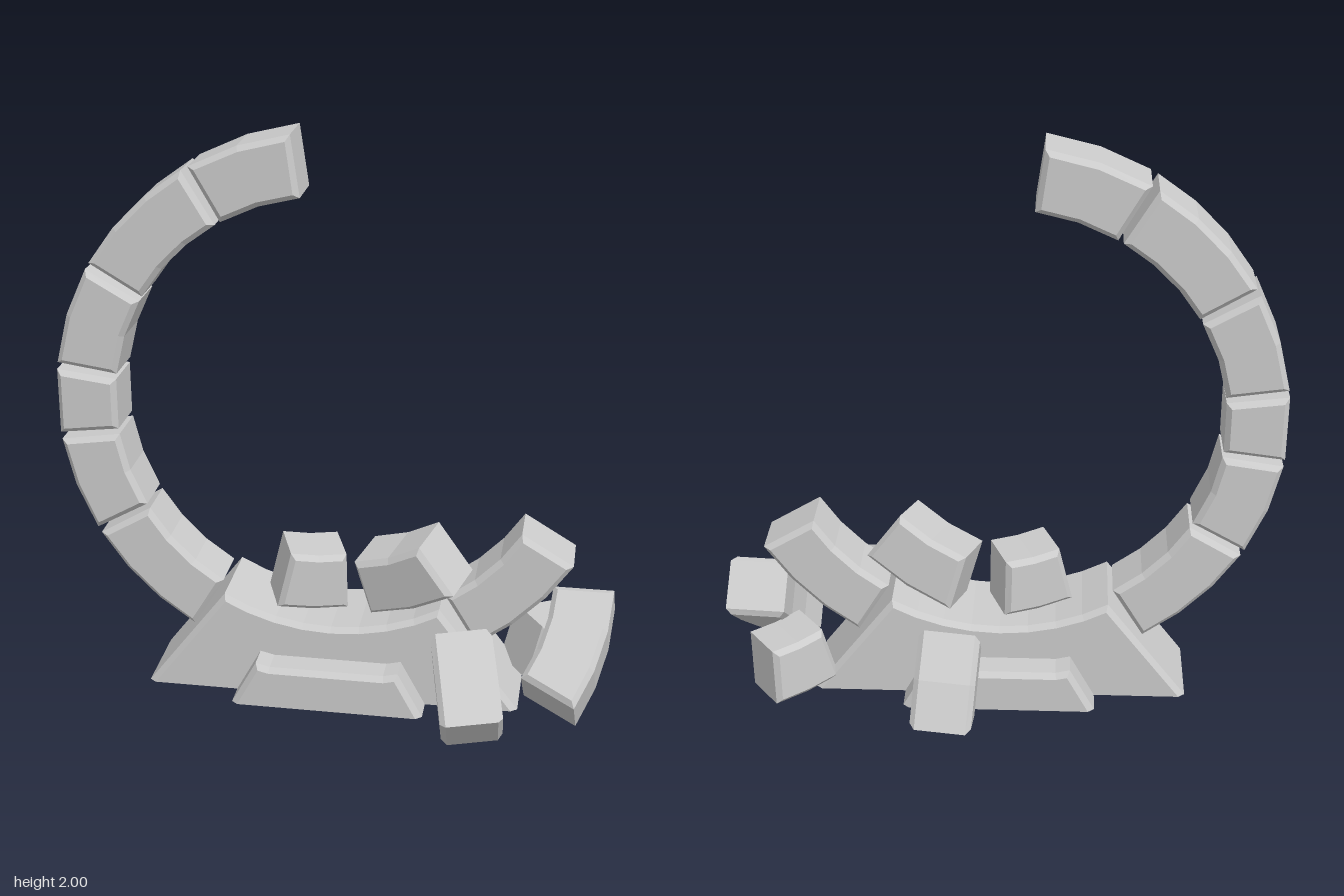
import * as THREE from 'three';

const OUTER = 0.97, INNER = 0.76, MID = (OUTER + INNER) / 2;
const WIDTH = 0.21, BEVEL = 0.018;
const CENTRE = new THREE.Vector3(-0.02, 1.04, -0.01);
const rad = THREE.MathUtils.degToRad;
const material = new THREE.MeshStandardMaterial({ color: 0xcccccc, flatShading: true });

// Chamfered slab centred on z, with its outline kept at full size
function slab(points, depth) {
  const geometry = new THREE.ExtrudeGeometry(new THREE.Shape(points), {
    depth: depth - 2 * BEVEL, bevelEnabled: true, bevelSegments: 1,
    bevelSize: BEVEL, bevelThickness: BEVEL, bevelOffset: -BEVEL,
  });
  return geometry.translate(0, 0, BEVEL - depth / 2);
}

function arc(radius, from, to, steps) {
  const points = [];
  for (let i = 0; i <= steps; i++) {
    const a = rad(from + (to - from) * i / steps);
    points.push(new THREE.Vector2(radius * Math.cos(a), radius * Math.sin(a)));
  }
  return points;
}

// Ring block: x along the ring, y outwards, z across
function block(span, name) {
  const steps = Math.max(1, Math.round(span / 9.5));
  const from = 90 - span / 2, to = 90 + span / 2;
  const outline = [...arc(OUTER, from, to, steps), ...arc(INNER, to, from, steps)];
  const mesh = new THREE.Mesh(slab(outline, WIDTH).translate(0, -MID, 0), material);
  mesh.name = name;
  return mesh;
}

// Slab standing on the ground: the lower chamfer is pressed flat
function footing(points, depth, name) {
  const geometry = slab(points, depth);
  const pos = geometry.attributes.position;
  for (let i = 0; i < pos.count; i++) pos.setY(i, Math.max(0, pos.getY(i)));
  geometry.computeVertexNormals();
  const mesh = new THREE.Mesh(geometry, material);
  mesh.position.set(CENTRE.x, 0, CENTRE.z);
  mesh.name = name;
  return mesh;
}

export function createModel() {
  const group = new THREE.Group();
  group.name = 'brokenStoneRing';

  // Standing part of the ring, as start and end angles
  const standing = [[98.3, 119.7], [121.3, 149], [150.5, 171.7], [173.2, 187],
    [188.5, 209.2], [210.6, 238.6], [301.4, 329]];
  standing.forEach(([from, to], i) => {
    const mesh = block(to - from, `ringBlock${i + 1}`);
    const a = rad((from + to) / 2);
    mesh.position.set(Math.cos(a) * MID, Math.sin(a) * MID, 0).add(CENTRE);
    mesh.rotation.z = a - Math.PI / 2;
    group.add(mesh);
  });

  // Base with a curved cradle on top
  const cradle = arc(0.77, 330 - 1, 211 + 0, 1) && arc(0.77, 299.5, 240.5, 8)
    .map((p) => p.add(new THREE.Vector2(0, CENTRE.y)));
  group.add(footing([new THREE.Vector2(-0.662, -BEVEL), new THREE.Vector2(0.662, -BEVEL), ...cradle],
    0.33, 'base'));

  // Lower plinth, stepping out at front and back
  const plinth = [[-0.338, -BEVEL], [0.338, -BEVEL], [0.25, 0.162], [0.2, 0.15], [-0.2, 0.15], [-0.25, 0.162]];
  group.add(footing(plinth.map(([x, y]) => new THREE.Vector2(x, y)), 0.54, 'plinth'));

  // Fallen blocks: span, centre, direction along, direction outwards
  const fallen = [
    [15, [-0.115, 0.41, -0.01], [0.93, -0.1, -0.34], [-0.1, -1, 0]],
    [21, [0.245, 0.455, 0.02], [0.83, 0.4, 0.31], [0.45, -0.87, 0]],
    [21, [0.48, 0.18, 0.34], [0.2, -0.52, 0.83], [0, 0.83, 0.52]],
    [27, [0.825, 0.222, 0.092], [-0.25, -0.64, 0.73], [0.97, -0.12, 0.2]],
    [20, [0.155, 0.19, -0.385], [0.08, -0.84, -0.5], [0, 0.5, -0.86]],
    [15, [0.725, 0.125, -0.16], [0.8, -0.12, -0.58], [-0.1, -1, 0]],
  ];
  fallen.forEach(([span, centre, along, out], i) => {
    const mesh = block(span, `fallenBlock${i + 1}`);
    const x = new THREE.Vector3(...along).normalize();
    const z = new THREE.Vector3().crossVectors(x, new THREE.Vector3(...out)).normalize();
    const y = new THREE.Vector3().crossVectors(z, x);
    mesh.quaternion.setFromRotationMatrix(new THREE.Matrix4().makeBasis(x, y, z));
    mesh.position.set(...centre);
    group.add(mesh);
  });

  return group;
}
